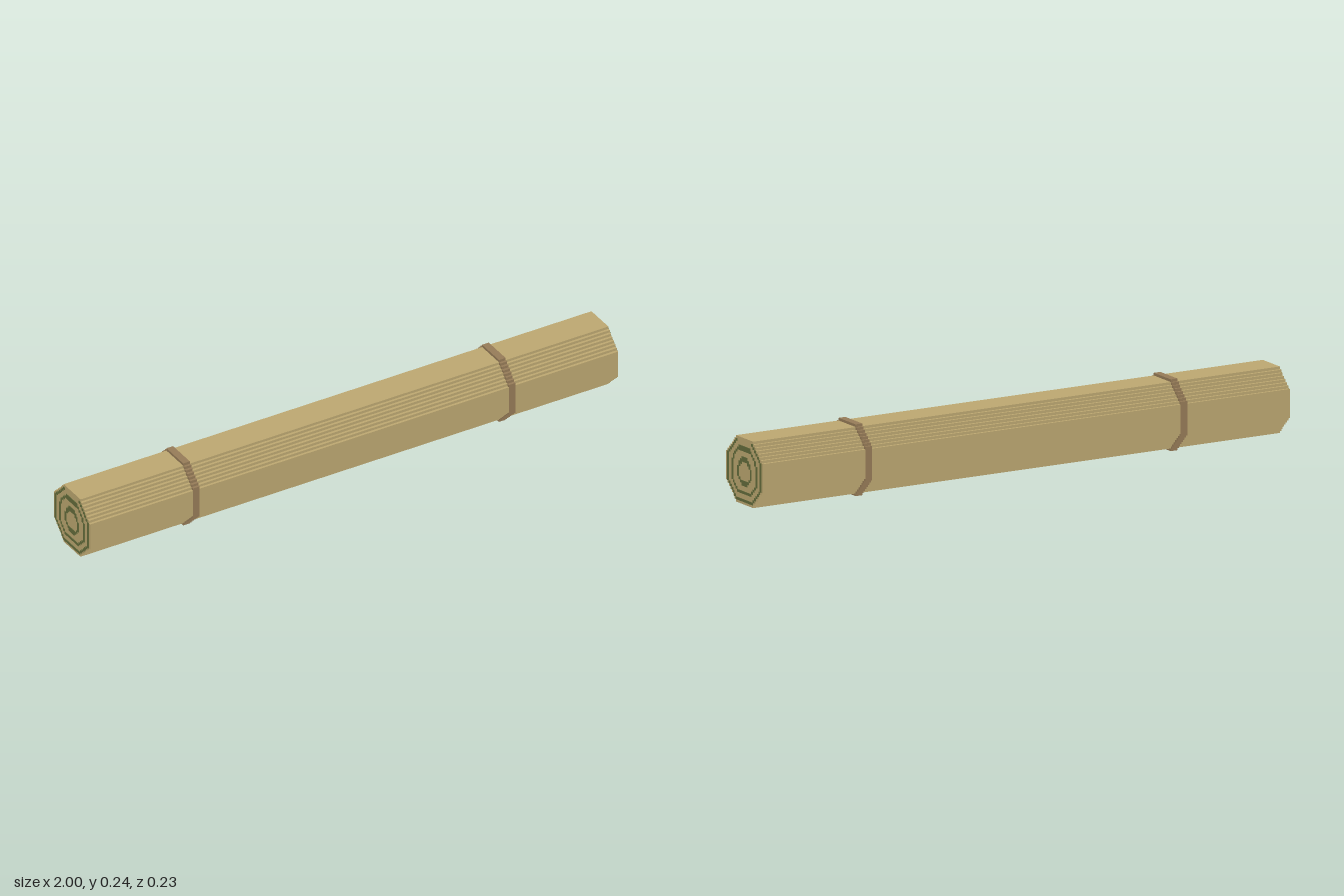
import * as THREE from 'three';

const U = 0.00886;          // edge of one square step
const MID = 13.5 * U;       // height of the long axis
const STRAP_X = 0.597, STRAP_HALF = 0.0125, PLATE = 0.002;

const straw = new THREE.MeshStandardMaterial({ color: 0xbda871 });
straw.name = 'straw';
const cord = new THREE.MeshStandardMaterial({ color: 0x977c58 });
cord.name = 'cord';
const green = new THREE.MeshStandardMaterial({ color: 0x646d3c });
green.name = 'green';

// Stepped octagon: flat top 12 steps wide, stairs out to 26 steps wide
function steppedOctagon(halfHeight) {
  const quarter = [];
  for (let i = 0; i < 8; i++) {
    quarter.push([6 + i, halfHeight - i]);
    if (i < 7) quarter.push([6 + i, halfHeight - i - 1]);
  }
  const right = [...quarter, ...quarter.map(([x, y]) => [x, -y]).reverse()];
  const all = [...right, ...right.map(([x, y]) => [-x, y]).reverse()];
  return new THREE.Shape(all.map(([x, y]) => new THREE.Vector2(x * U, y * U)));
}

// Prism of the stepped octagon lying along x
function prism(name, halfHeight, x0, x1, material) {
  const geo = new THREE.ExtrudeGeometry(steppedOctagon(halfHeight), { depth: x1 - x0, bevelEnabled: false });
  geo.rotateY(Math.PI / 2).translate(x0, MID, 0);
  const mesh = new THREE.Mesh(geo, material);
  mesh.name = name;
  return mesh;
}

// Ring pieces as [first row, last row, first column, last column], rows from the top;
// each is mirrored across the middle
const rings = {
  outerRing: [[8, 18, 1, 1], [24, 24, 7, 12]],
  middleRing: [[10, 17, 4, 4], [8, 9, 5, 5], [7, 7, 6, 6], [6, 6, 7, 7], [5, 5, 8, 8], [4, 5, 9, 12],
    [18, 18, 5, 5], [19, 19, 6, 6], [20, 20, 7, 7], [21, 21, 8, 12]],
  innerRing: [[12, 15, 8, 8], [10, 11, 9, 9], [9, 10, 10, 10], [8, 9, 11, 12],
    [16, 16, 9, 9], [17, 17, 10, 10], [17, 18, 11, 12]],
};
for (let i = 0; i < 6; i++) {
  rings.outerRing.push([2 + i, 2 + i, 7 - i, 7 - i]);
  if (i < 5) rings.outerRing.push([23 - i, 23 - i, 6 - i, 6 - i]);
}

// Painted rings on one end
function endRings(side) {
  const end = new THREE.Group();
  end.name = side > 0 ? 'leftEndRings' : 'rightEndRings';
  for (const [name, pieces] of Object.entries(rings)) {
    const ring = new THREE.Group();
    ring.name = name;
    for (const [r0, r1, c0, c1] of pieces) {
      const geo = new THREE.BoxGeometry(PLATE, (r1 - r0 + 1) * U, (c1 - c0 + 1) * U);
      for (const m of [-1, 1]) {
        const plate = new THREE.Mesh(geo, green);
        plate.name = name + 'Piece';
        plate.position.set(side * (1 - PLATE / 2), (27 - (r0 + r1 + 1) / 2) * U, m * (13 - (c0 + c1 + 1) / 2) * U);
        ring.add(plate);
      }
    }
    end.add(ring);
  }
  return end;
}

export function createModel() {
  const bale = new THREE.Group();
  bale.name = 'rolledBundle';

  // Roll, split where the cords pass
  const a = STRAP_X - STRAP_HALF, b = STRAP_X + STRAP_HALF, e = 1 - PLATE;
  bale.add(
    prism('rollRightPart', 12.5, -e, -b, straw),
    prism('rollMiddlePart', 12.5, -a, a, straw),
    prism('rollLeftPart', 12.5, b, e, straw),
  );

  // Cords, one step proud except on the flush sides
  bale.add(prism('rightCord', 13.5, -b, -a, cord), prism('leftCord', 13.5, a, b, cord));

  bale.add(endRings(-1), endRings(1));
  return bale;
}
